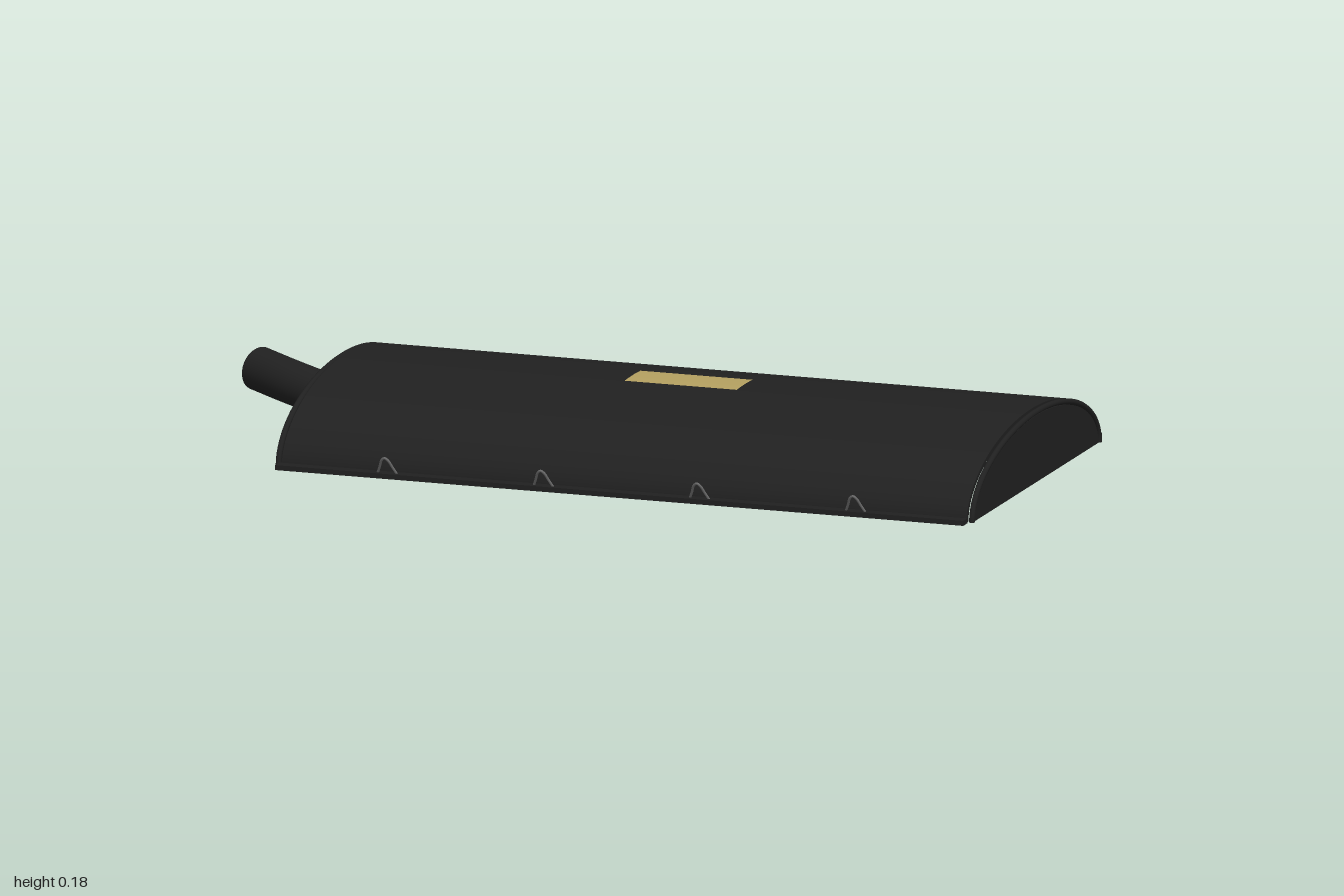
import * as THREE from 'three';

const X0 = -0.717, X1 = 0.98;            // ends of the canopy
const material = (color) => new THREE.MeshStandardMaterial({ color, side: THREE.DoubleSide });
const black = material(0x202020);
const grey = material(0x6a6a6a);
const tan = material(0xb4a060);

function add(parent, name, geometry, mat = black) {
  const mesh = new THREE.Mesh(geometry, mat);
  mesh.name = name;
  parent.add(mesh);
  return mesh;
}

// points of a half ellipse across z, standing on y = 0
function archPoints(a, b, from = 0, to = Math.PI, n = 64) {
  return Array.from({ length: n + 1 }, (_, i) => {
    const t = from + (to - from) * i / n;
    return new THREE.Vector2(a * Math.cos(t), b * Math.sin(t));
  });
}

// extrude a closed (z, y) outline along x
function extrudeAlongX(points, x, length) {
  const geometry = new THREE.ExtrudeGeometry(new THREE.Shape(points), { depth: length, bevelEnabled: false });
  return geometry.rotateY(Math.PI / 2).translate(x, 0, 0);
}

// thin curved sheet over an elliptical arch with smooth normals
function archSheet(a, b, from, to, x, length) {
  const geometry = new THREE.PlaneGeometry(1, 1, 1, 64);
  const p = geometry.attributes.position;
  for (let i = 0; i < p.count; i++) {
    const t = from + (to - from) * (p.getY(i) + 0.5);
    p.setXYZ(i, x + (p.getX(i) + 0.5) * length, b * Math.sin(t), -a * Math.cos(t));
  }
  geometry.computeVertexNormals();
  // the sheet runs from -z to +z, so turn the faces outward
  const index = geometry.index;
  for (let i = 0; i < index.count; i += 3) {
    const k = index.getX(i);
    index.setX(i, index.getX(i + 1));
    index.setX(i + 1, k);
  }
  geometry.computeVertexNormals();
  return geometry;
}

export function createModel() {
  const model = new THREE.Group();
  model.name = 'archedCover';

  // canopy: outer skin, inner skin and the thin edge strips between them
  const canopy = new THREE.Group();
  canopy.name = 'canopy';
  model.add(canopy);
  add(canopy, 'outerSkin', archSheet(0.447, 0.175, 0, Math.PI, X0, X1 - X0));
  add(canopy, 'innerSkin', archSheet(0.435, 0.164, 0, Math.PI, X0, X1 - X0));
  const band = [...archPoints(0.447, 0.175), ...archPoints(0.435, 0.164).reverse()];
  for (const x of [X0, X1]) add(canopy, 'canopyEnd', extrudeAlongX(band, x - 0.0005, 0.001));
  for (const side of [-1, 1]) {
    add(canopy, 'canopyHem', new THREE.BoxGeometry(X1 - X0, 0.001, 0.012))
      .position.set((X0 + X1) / 2, 0.0005, side * 0.441);
  }

  // end panels and the piping around them
  for (const x of [-0.728, 0.991]) {
    add(model, 'endPanel', extrudeAlongX(archPoints(0.43, 0.16), x - 0.002, 0.004));
    const path = new THREE.CatmullRomCurve3(
      archPoints(0.44, 0.168).map((p) => new THREE.Vector3(x, p.y, p.x)));
    add(model, 'endPiping', new THREE.TubeGeometry(path, 96, 0.007, 10));
  }

  // side rails with wire loops leaning outward
  for (const side of [-1, 1]) {
    add(model, 'sideRail', new THREE.BoxGeometry(1.706, 0.012, 0.028))
      .position.set(0.131, 0.006, side * 0.467);
    for (let i = 0; i < 4; i++) {
      const x = -0.449 + i * 0.387;
      const wire = new THREE.CatmullRomCurve3(
        [[-0.025, 0.008], [-0.016, 0.027], [-0.008, 0.045], [0, 0.051], [0.008, 0.045], [0.016, 0.027], [0.025, 0.008]]
          .map(([dx, y]) => new THREE.Vector3(x + dx, y, side * (0.461 + y * 0.5))));
      add(model, 'tieLoop', new THREE.TubeGeometry(wire, 32, 0.003, 8), grey);
    }
  }

  // curved patch on the crown
  const half = Math.asin(0.055 / 0.449);
  add(model, 'crownPatch',
    archSheet(0.449, 0.178, Math.PI / 2 - half, Math.PI / 2 + half, -0.008, 0.278), tan);

  // bent duct leaving the right end
  const duct = new THREE.Group();
  duct.name = 'duct';
  model.add(duct);
  const path = new THREE.CatmullRomCurve3([
    [-0.715, 0.064, -0.003], [-0.78, 0.07, -0.015], [-0.87, 0.083, -0.05], [-0.973, 0.095, -0.108],
  ].map((p) => new THREE.Vector3(...p)));
  add(duct, 'ductTube', new THREE.TubeGeometry(path, 32, 0.052, 32));
  for (const t of [0, 1]) {
    const cap = add(duct, 'ductCap', new THREE.CircleGeometry(0.052, 32));
    const direction = path.getTangentAt(t).multiplyScalar(t ? 1 : -1);
    cap.position.copy(path.getPointAt(t));
    cap.quaternion.setFromUnitVectors(new THREE.Vector3(0, 0, 1), direction);
  }

  return model;
}
